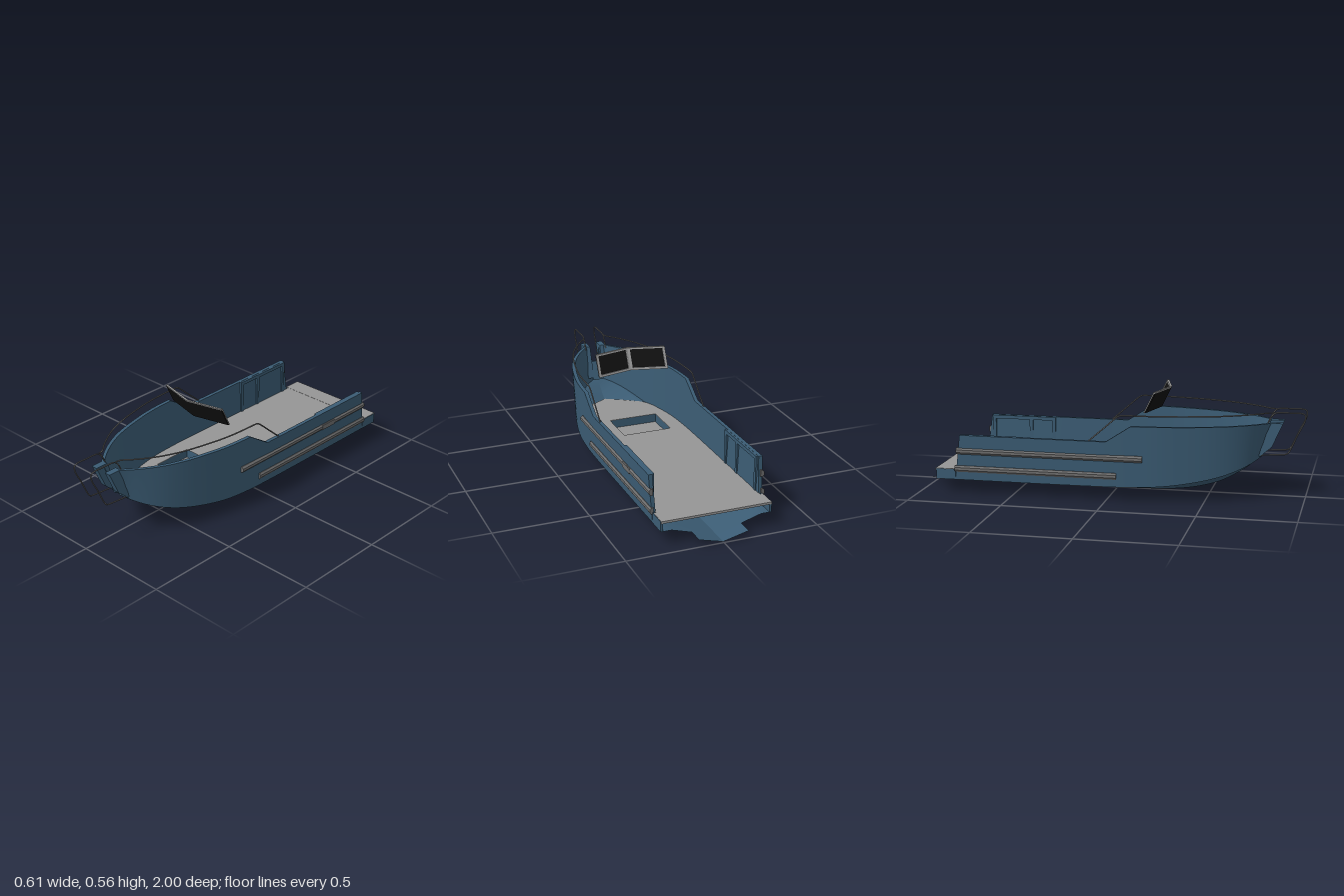
import * as THREE from 'three';
import { mergeGeometries } from 'three/addons/utils/BufferGeometryUtils.js';

const blue = new THREE.MeshStandardMaterial({ color: 0x3b5c74, side: THREE.DoubleSide });
const grey = new THREE.MeshStandardMaterial({ color: 0x959595 });
const darkGrey = new THREE.MeshStandardMaterial({ color: 0x6e6e6e });
const black = new THREE.MeshStandardMaterial({ color: 0x111111 });
const V = (x, y, z) => new THREE.Vector3(x, y, z);

// Hull stations, stern to bow: chine x,y,z | sheer x,z | keel y,z
const STATIONS = [
  [0.29, 0.07, -0.81, 0.3, -0.78, 0, -0.81],
  [0.29, 0.07, -0.4, 0.3, -0.4, 0, -0.4],
  [0.29, 0.072, 0, 0.3, 0, 0, 0],
  [0.288, 0.075, 0.13, 0.299, 0.13, 0.001, 0.13],
  [0.277, 0.083, 0.28, 0.289, 0.28, 0.006, 0.28],
  [0.25, 0.1, 0.42, 0.263, 0.42, 0.024, 0.42],
  [0.212, 0.125, 0.55, 0.228, 0.55, 0.062, 0.55],
  [0.165, 0.155, 0.65, 0.185, 0.65, 0.11, 0.64],
  [0.105, 0.187, 0.725, 0.125, 0.745, 0.155, 0.705],
  [0.03, 0.215, 0.775, 0.05, 0.835, 0.213, 0.765],
];
const sheerY = z => 0.31 + 0.085 * THREE.MathUtils.clamp(z / 0.13, 0, 1);

// Smooth line through one set of station points
function line(pick) {
  return new THREE.CatmullRomCurve3(STATIONS.map(pick), false, 'centripetal').getPoints((STATIONS.length - 1) * 6);
}

// Ruled surface between two point lines, on side s
function strip(a, b, s = 1) {
  const pos = [], idx = [];
  a.forEach((p, i) => {
    pos.push(s * p.x, p.y, p.z, s * b[i].x, b[i].y, b[i].z);
    const k = 2 * i;
    if (i) idx.push(...(s > 0 ? [k - 2, k, k - 1, k, k + 1, k - 1] : [k - 2, k - 1, k, k, k - 1, k + 1]));
  });
  const g = new THREE.BufferGeometry();
  g.setAttribute('position', new THREE.Float32BufferAttribute(pos, 3));
  g.setIndex(idx);
  g.computeVertexNormals();
  return g;
}

function box(x0, x1, y0, y1, z0, z1) {
  return new THREE.BoxGeometry(Math.abs(x1 - x0), y1 - y0, z1 - z0)
    .translate((x0 + x1) / 2, (y0 + y1) / 2, (z0 + z1) / 2);
}

const shapeOf = pts => new THREE.Shape(pts.map(p => new THREE.Vector2(p[0], p[1])));
const extrude = (shape, depth) => new THREE.ExtrudeGeometry(shape, { depth, bevelEnabled: false });

export function createModel() {
  const boat = new THREE.Group();
  const add = (name, geo, mat) => {
    const m = new THREE.Mesh(geo, mat);
    m.name = name;
    boat.add(m);
  };

  // Hull skin: bottom, chine flat, outer wall, gunwale, inner wall, wall ends
  const keel = line(r => V(0, r[5], r[6]));
  const chine = line(r => V(r[0], r[1], r[2]));
  const knuckle = chine.map((c, i) => V(c.x * 0.81, c.y - 0.04 * (c.y - keel[i].y), c.z));
  const top = line(r => V(r[3], 0, r[4])).map(p => V(p.x, sheerY(p.z), p.z));
  const inset = p => V(p.x - 0.02, p.y, p.z);
  const topIn = top.map(inset), chineIn = chine.map(inset);
  const last = top.length - 1;
  const hull = [], sternPlates = [];
  for (const s of [1, -1]) {
    hull.push(strip(keel, knuckle, s), strip(knuckle, chine, s), strip(chine, top, s),
      strip(top, topIn, s), strip(topIn, chineIn, s));
    for (const i of [0, last]) hull.push(strip([chine[i], chineIn[i]], [top[i], topIn[i]], s));
    // open stern: bottom plate, tail and low side plates
    const at = z => [V(0, 0, z), V(0.235, 0.07, z), V(0.29, 0.07, z)];
    sternPlates.push(strip(at(-0.81), at(-0.915), s),
      strip([V(0, 0, -0.915), V(0.13, 0.039, -0.915)], [V(0, 0, -0.99), V(0.13, 0.039, -1)], s),
      box(s * 0.28, s * 0.291, 0.07, 0.124, -0.915, -0.81).deleteAttribute('uv'));
  }
  add('hull', mergeGeometries(hull), blue);
  add('sternPlates', mergeGeometries(sternPlates), blue);

  // Deck with an open well, and the stern platform
  const half = [[0.275, -0.82], [0.275, 0.2], [0.262, 0.32], [0.235, 0.43], [0.195, 0.52], [0.165, 0.545], [0.1, 0.592]];
  const deck = shapeOf([...half, [0, 0.65], ...half.slice().reverse().map(([x, z]) => [-x, z])]);
  const [wx0, wx1, wz0, wz1] = [-0.185, 0.085, 0.11, 0.33];
  deck.holes.push(new THREE.Path([[wx0, wz0], [wx0, wz1], [wx1, wz1], [wx1, wz0]].map(p => new THREE.Vector2(...p))));
  add('deck', extrude(deck, 0.003).rotateX(Math.PI / 2).translate(0, 0.125, 0), grey);
  add('sternPlatform', box(-0.289, 0.289, 0.114, 0.126, -0.92, -0.82), grey);
  add('wellFloor', box(wx0, wx1, 0.074, 0.078, wz0, wz1), grey);
  add('wellWalls', mergeGeometries([
    box(wx0 - 0.004, wx0, 0.076, 0.124, wz0, wz1), box(wx1, wx1 + 0.004, 0.076, 0.124, wz0, wz1),
    box(wx0, wx1, 0.076, 0.124, wz0 - 0.004, wz0), box(wx0, wx1, 0.076, 0.124, wz1, wz1 + 0.004),
  ]), blue);

  for (const s of [1, -1]) {
    const side = s > 0 ? 'left' : 'right';

    // Inner wall framing near the stern
    const frame = [box(s * 0.268, s * 0.285, 0.29, 0.309, -0.775, -0.41)];
    for (const z of [-0.775, -0.56, -0.43]) frame.push(box(s * 0.268, s * 0.285, 0.125, 0.29, z, z + 0.02));
    add(side + 'WallFrame', mergeGeometries(frame), blue);

    // Rubbing strakes
    for (const [y, z0, z1, out] of [[0.225, -0.8, 0.19, 0.305], [0.13, -0.81, 0.055, 0.303]]) {
      const profile = shapeOf([[s * 0.284, y - 0.017], [s * 0.296, y - 0.017], [s * out, y - 0.007],
        [s * out, y + 0.007], [s * 0.296, y + 0.017], [s * 0.284, y + 0.017]]);
      add(side + 'Strake', extrude(profile, z1 - z0).translate(0, 0, z0), darkGrey);
    }

    // Bow post
    const post = shapeOf([[0.88, 0.395], [0.81, 0.395], [0.745, 0.225], [0.765, 0.218], [0.825, 0.27]]);
    add(side + 'BowPost', extrude(post, 0.034).rotateY(-Math.PI / 2).translate(s > 0 ? 0.064 : -0.03, 0, 0), blue);

    // Side rail following the gunwale, and the bow loop
    const path = [V(0.292, 0.31, -0.09), V(0.292, 0.375, -0.015), V(0.292, 0.44, 0.06), V(0.292, 0.447, 0.073), V(0.292, 0.449, 0.09)];
    top.forEach((p, i) => { if (p.z > 0.14 && i % 2 === 0) path.push(V(p.x - 0.008, 0.449, p.z)); });
    path[path.length - 1].set(0.06, 0.449, 0.835);
    const loop = [V(0.06, 0.38, 0.795), V(0.06, 0.43, 0.82), V(0.06, 0.447, 0.838), V(0.06, 0.452, 0.86), V(0.06, 0.452, 0.91),
      V(0.06, 0.452, 0.97), V(0.06, 0.445, 0.989), V(0.06, 0.42, 0.992), V(0.06, 0.335, 0.953), V(0.06, 0.25, 0.914),
      V(0.06, 0.236, 0.9), V(0.06, 0.232, 0.87), V(0.06, 0.225, 0.77)];
    for (const [name, pts] of [['Rail', path], ['BowLoop', loop]]) {
      const curve = new THREE.CatmullRomCurve3(pts.map(p => V(s * p.x, p.y, p.z)), false, 'centripetal');
      add(side + name, new THREE.TubeGeometry(curve, 90, 0.0037, 8), darkGrey);
    }

    // Forward-leaning windscreen half: sheared boxes, u outward, v up, w thickness
    const shear = new THREE.Matrix4().set(0.198, 0, 0, 0, 0, 0.11, 0, 0.448, -0.05 * s, 0.053, 1, 0.235, 0, 0, 0, 1);
    const pane = (u0, u1, v0, v1, w0, w1) => box(s * u0, s * u1, v0, v1, w0, w1).applyMatrix4(shear);
    add(side + 'WindscreenGlass', pane(0, 1, 0, 0.93, -0.003, 0.004), black);
    add(side + 'WindscreenFrame', mergeGeometries([
      pane(0, 1, 0.93, 1, -0.008, 0.004), pane(0, 1, 0, 0.1, -0.008, -0.003),
      pane(0, 0.06, 0.1, 0.93, -0.008, -0.003), pane(0.93, 1, 0.1, 0.93, -0.008, -0.003),
    ]), grey);
  }

  // Step block on the left upper strake
  add('strakeStep', box(0.288, 0.3055, 0.211, 0.238, -0.54, -0.44), darkGrey);

  // Low gate between the bow posts
  const gate = shapeOf([[0.76, 0.21], [0.8, 0.31], [0.788, 0.31], [0.748, 0.21]]);
  add('bowGate', extrude(gate, 0.064).rotateY(-Math.PI / 2).translate(0.032, 0, 0), blue);

  return boat;
}
